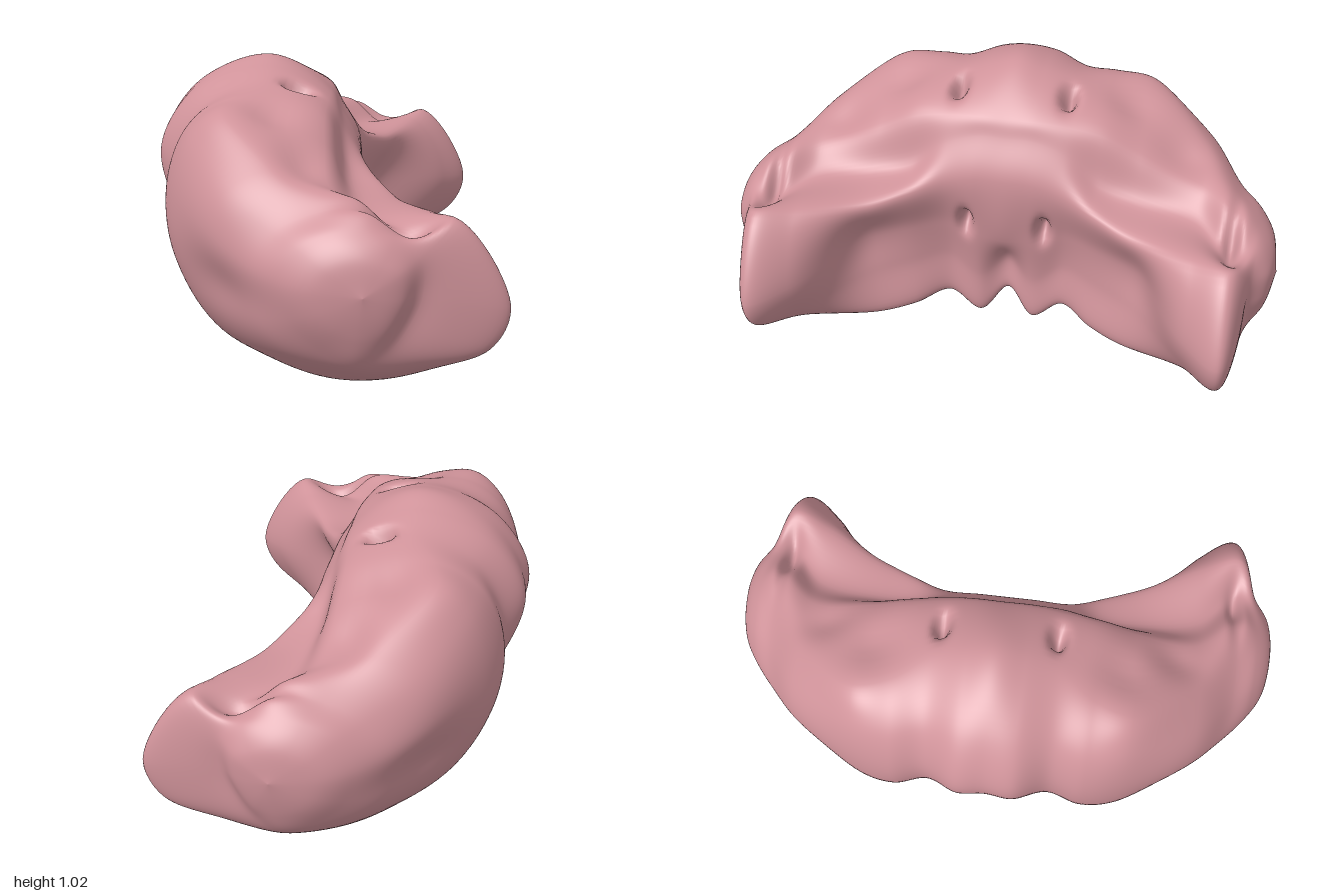
import * as THREE from 'three';

const V = (x, y, z) => new THREE.Vector3(x, y, z);

// Half of the cross-sections, from the middle outwards. Each loop runs:
// crest, back, underside, inner face, shelf and back up to the crest.
const section = (z, ...p) => p.map(([x, y]) => V(x, y, z));

const middle = section(0, [-0.2, 1.02], [-0.46, 0.92], [-0.59, 0.7], [-0.53, 0.47], [-0.36, 0.25], [-0.12, 0.1],
  [0.01, 0.11], [0.01, 0.25], [0.1, 0.4], [0.13, 0.69], [0.06, 0.83], [0.02, 0.9]);
const prong = section(0.1, [-0.2, 0.995], [-0.46, 0.91], [-0.595, 0.7], [-0.54, 0.47], [-0.32, 0.18], [-0.08, 0.003],
  [0.05, 0.012], [0.06, 0.2], [0.1, 0.42], [0.13, 0.69], [0.06, 0.83], [0.02, 0.9]);
const waist = section(0.22, [-0.22, 0.955], [-0.43, 0.87], [-0.53, 0.68], [-0.51, 0.45], [-0.35, 0.21], [-0.1, 0.088],
  [0.06, 0.1], [0.06, 0.28], [0.09, 0.45], [0.14, 0.66], [0.07, 0.79], [0.01, 0.89]);
const lobe = section(0.34, [-0.3, 0.925], [-0.46, 0.84], [-0.545, 0.65], [-0.535, 0.42], [-0.39, 0.17], [-0.08, 0.07],
  [0.14, 0.075], [0.12, 0.27], [0.13, 0.44], [0.19, 0.63], [0.08, 0.69], [0, 0.87]);
const wing = section(0.48, [-0.33, 0.9], [-0.44, 0.82], [-0.51, 0.62], [-0.495, 0.37], [-0.34, 0.13], [-0.05, 0.048],
  [0.2, 0.055], [0.2, 0.25], [0.2, 0.42], [0.26, 0.6], [0.09, 0.65], [0, 0.8]);
const shoulder = section(0.7, [-0.16, 0.765], [-0.3, 0.7], [-0.375, 0.55], [-0.345, 0.35], [-0.23, 0.17], [0, 0.06],
  [0.27, 0.075], [0.42, 0.22], [0.49, 0.38], [0.37, 0.62], [0.14, 0.62], [0.02, 0.71]);
const horn = section(0.84, [-0.04, 0.66], [-0.16, 0.6], [-0.25, 0.48], [-0.22, 0.32], [-0.12, 0.2], [0.1, 0.12],
  [0.33, 0.15], [0.53, 0.215], [0.59, 0.36], [0.41, 0.64], [0.28, 0.59], [0.13, 0.69]);
const flank = section(0.92, [0.02, 0.62], [-0.08, 0.57], [-0.15, 0.46], [-0.12, 0.34], [-0.02, 0.24], [0.1, 0.19],
  [0.2, 0.23], [0.27, 0.32], [0.31, 0.42], [0.3, 0.54], [0.22, 0.6], [0.12, 0.63]);

// The rounded end shrinks the last section towards a pole
const pole = V(0.12, 0.44, 1);
const shrink = (k, z) => flank.map(p => p.clone().lerp(pole, 1 - k).setZ(z));
const half = [middle, prong, waist, lobe, wing, shoulder, horn, flank, shrink(0.62, 0.975), shrink(0, 1)];
const mirrored = half.slice(1).reverse().map(s => s.map(p => V(p.x, p.y, -p.z)));
const sections = [...mirrored, ...half];

// Soft dents and swellings on both sides: centre, reach, push
const details = [
  [V(-0.09, 0.95, 0.2), V(0.04, 0.08, 0.028), V(-0.03, -0.08, 0)],    // upper opening
  [V(0.1, 0.47, 0.145), V(0.08, 0.05, 0.024), V(-0.08, 0, 0)],        // inner opening
  [V(0.18, 0.63, 0.83), V(0.1, 0.08, 0.025), V(0, -0.07, 0)],         // pit behind the horn
  [V(-0.18, 0.88, 0.42), V(0.08, 0.1, 0.1), V(0, -0.03, 0)],          // valley behind the crest
  [V(-0.07, 0.78, 0.62), V(0.07, 0.1, 0.1), V(0, -0.025, 0)],         // valley, outer end
  [V(-0.27, 0.38, 0.7), V(0.2, 0.1, 0.22), V(0.02, 0, -0.025)],       // crease below the dome
  [V(-0.28, 0.64, 0.62), V(0.16, 0.14, 0.2), V(-0.015, 0, 0.02)],     // dome
  [V(0.25, 0.42, 0.9), V(0.09, 0.12, 0.08), V(0, 0, -0.025)],         // groove beside the horn
  [V(0.12, 0.3, 0.93), V(0.1, 0.08, 0.08), V(0, 0, -0.015)],          // foot of the groove
  [V(0.28, 0.38, 0.54), V(0.15, 0.15, 0.1), V(-0.045, 0, 0)],         // inner hollow
];

function sculpt(p) {
  const side = p.z < 0 ? -1 : 1;
  const q = V(p.x, p.y, Math.abs(p.z));
  const out = q.clone();
  for (const [centre, reach, push] of details) {
    const d = q.clone().sub(centre).divide(reach);
    out.addScaledVector(push, Math.exp(-d.lengthSq()));
  }
  return out.setZ(out.z * side);
}

function loft(along, around) {
  const rails = middle.map((_, k) => new THREE.CatmullRomCurve3(sections.map(s => s[k])));
  const positions = [], index = [];
  for (let i = 0; i <= along; i++) {
    const loop = new THREE.CatmullRomCurve3(rails.map(r => r.getPoint(i / along)), true);
    for (let j = 0; j < around; j++) {
      const p = sculpt(loop.getPoint(j / around));
      positions.push(p.x, Math.max(p.y, 0), p.z);
      if (i === along) continue;
      const a = i * around + j, b = i * around + (j + 1) % around;
      index.push(a, b, a + around, b, b + around, a + around);
    }
  }
  const geometry = new THREE.BufferGeometry();
  geometry.setAttribute('position', new THREE.Float32BufferAttribute(positions, 3));
  geometry.setIndex(index);
  geometry.computeVertexNormals();
  return geometry;
}

export function createModel() {
  const tissue = new THREE.MeshStandardMaterial({ color: 0xd0939a });
  tissue.name = 'dusty pink';
  const group = new THREE.Group();
  group.name = 'crescentForm';
  const body = new THREE.Mesh(loft(270, 120), tissue);
  body.name = 'crescentBody';
  group.add(body);
  return group;
}
